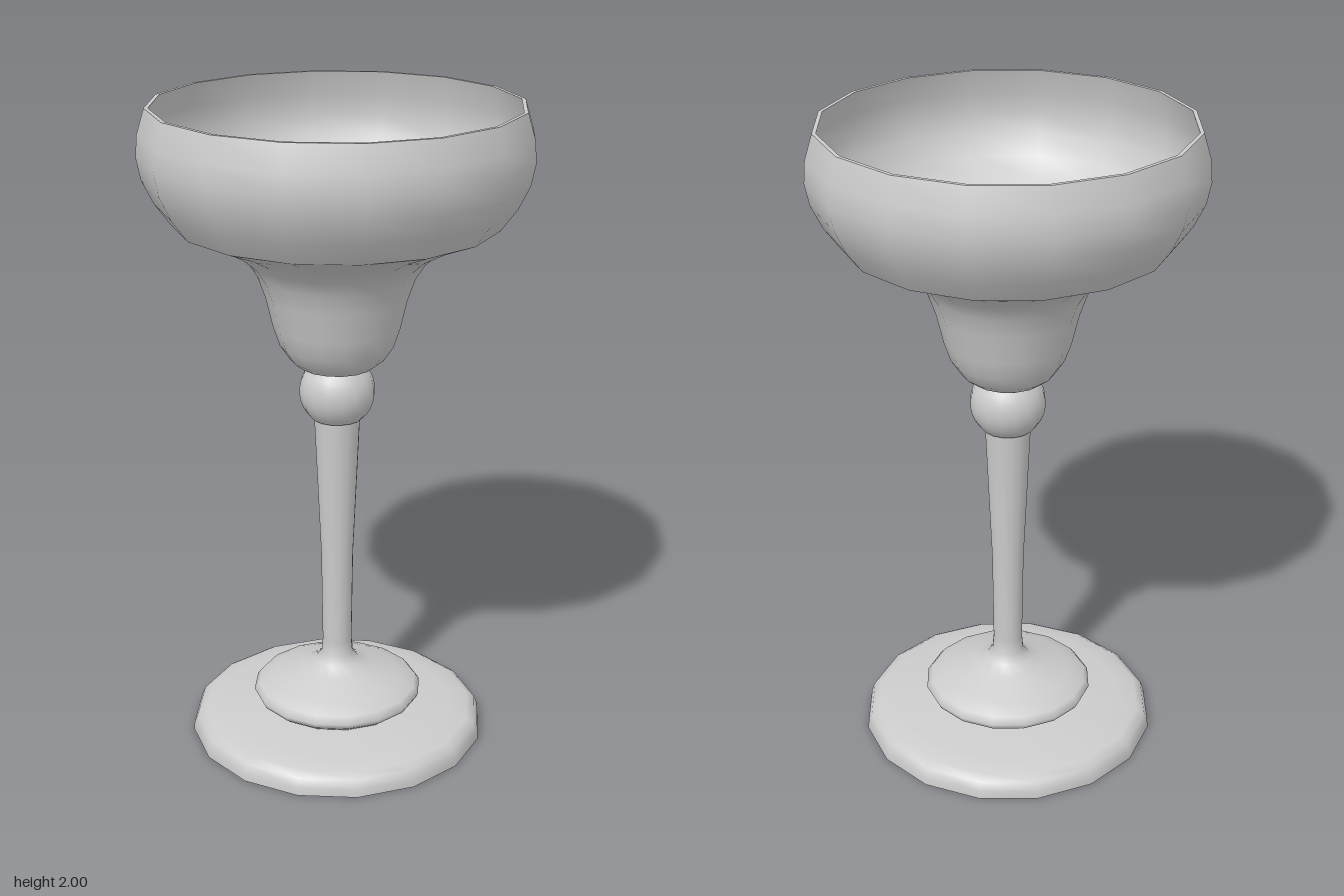
import * as THREE from 'three';

const SIDES = 16;

export function createModel() {
  const group = new THREE.Group();
  const material = new THREE.MeshStandardMaterial({ color: 0xcccccc });

  // Smooth 16-sided turned part; profile is [radius, height] pairs.
  // Separate parts meet in sharp edges.
  function turned(name, profile) {
    const points = profile.map(([r, y]) => new THREE.Vector2(r, y));
    const mesh = new THREE.Mesh(new THREE.LatheGeometry(points, SIDES), material);
    mesh.name = name;
    group.add(mesh);
  }

  // Foot: flat underside, rounded edge and gently sloping top
  turned('footUnderside', [[0, 0], [0.463, 0]]);
  turned('foot', [[0.463, 0], [0.461, 0.025], [0.45, 0.052], [0.425, 0.068], [0.36, 0.08], [0.2, 0.095]]);

  // Collar disc flowing up into the tapered stem
  turned('collarAndStem', [
    [0.2, 0.095], [0.235, 0.098], [0.257, 0.115], [0.266, 0.133], [0.25, 0.153],
    [0.2, 0.174], [0.11, 0.207], [0.068, 0.228], [0.05, 0.255], [0.046, 0.3],
    [0.05, 0.6], [0.07, 1.05],
  ]);

  // Round knob between stem and bowl
  const knob = [];
  for (let i = 0; i <= 8; i++) {
    const a = THREE.MathUtils.lerp(-0.84, 0.7, i / 8);
    knob.push([0.115 * Math.cos(a), 1.136 + 0.115 * Math.sin(a)]);
  }
  turned('knobUnderside', [[0.06, 1.05], knob[0]]);
  turned('knob', knob);

  // Outside of the bowl: lower cup, then the wide upper bowl
  turned('lowerCup', [
    [0.08, 1.209], [0.112, 1.217], [0.142, 1.24], [0.172, 1.285], [0.192, 1.345], [0.213, 1.435],
    [0.236, 1.5], [0.265, 1.545], [0.31, 1.583], [0.38, 1.62], [0.48, 1.66],
  ]);
  turned('upperBowl', [
    [0.48, 1.66], [0.528, 1.725], [0.562, 1.795], [0.575, 1.86], [0.57, 1.925], [0.547, 2],
  ]);
  turned('rim', [[0.547, 2], [0.535, 2]]);

  // Inside of the bowl, down to a round floor
  turned('bowlInside', [
    [0.535, 2], [0.557, 1.925], [0.561, 1.86], [0.548, 1.8], [0.515, 1.735], [0.468, 1.675],
    [0.375, 1.635], [0.3, 1.597], [0.255, 1.557], [0.225, 1.505],
  ]);
  turned('cupInside', [
    [0.225, 1.505], [0.2, 1.435], [0.178, 1.345], [0.158, 1.29], [0.13, 1.25], [0.105, 1.232], [0, 1.228],
  ]);

  return group;
}
